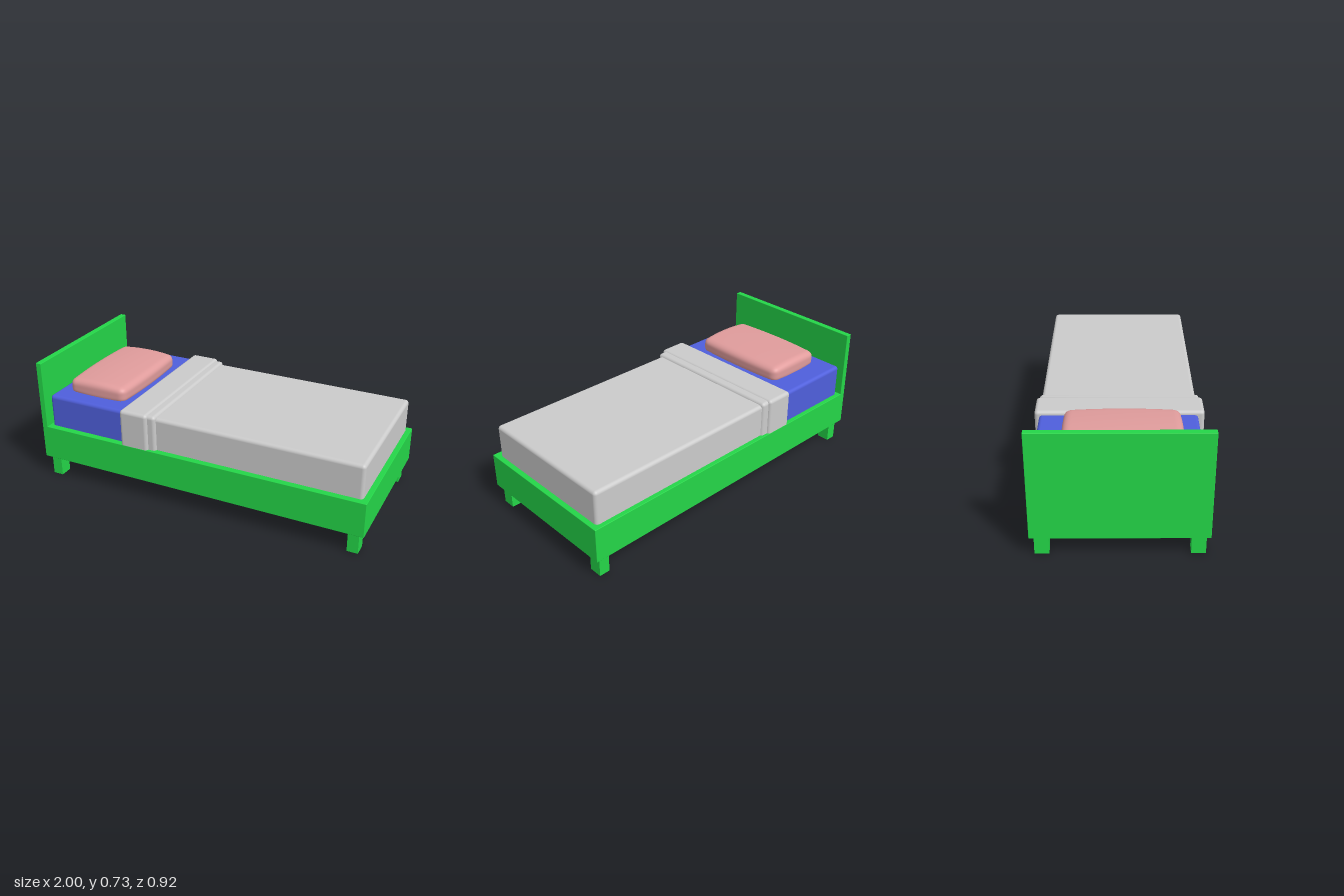
import * as THREE from 'three';
import { mergeVertices } from 'three/addons/utils/BufferGeometryUtils.js';
import { RoundedBoxGeometry } from 'three/addons/geometries/RoundedBoxGeometry.js';

const green = new THREE.MeshStandardMaterial({ color: 0x24d648 });
const blue = new THREE.MeshStandardMaterial({ color: 0x4f5fdc });
const pink = new THREE.MeshStandardMaterial({ color: 0xe09c9c });
const grey = new THREE.MeshStandardMaterial({ color: 0xcccccc });

// Box between two corners, with an optional edge radius
function block(name, material, [x0, y0, z0], [x1, y1, z1], radius = 0) {
  const size = [x1 - x0, y1 - y0, z1 - z0];
  const geometry = radius
    ? new RoundedBoxGeometry(...size, 4, radius)
    : new THREE.BoxGeometry(...size);
  const mesh = new THREE.Mesh(geometry, material);
  mesh.name = name;
  mesh.position.set((x0 + x1) / 2, (y0 + y1) / 2, (z0 + z1) / 2);
  return mesh;
}

// Soft cushion: subdivided box with rounded edges, fuller towards the middle
function cushion(w, h, d, r) {
  const geometry = new THREE.BoxGeometry(w, h, d, 36, 12, 56);
  geometry.deleteAttribute('uv');
  geometry.deleteAttribute('normal');
  const pos = geometry.attributes.position;
  const p = new THREE.Vector3();
  const core = new THREE.Vector3();
  const limit = new THREE.Vector3(w / 2 - r, h / 2 - r, d / 2 - r);
  for (let i = 0; i < pos.count; i++) {
    p.fromBufferAttribute(pos, i);
    core.copy(p).clamp(limit.clone().negate(), limit);
    p.sub(core).setLength(r).add(core);
    const u = 2 * p.x / w, v = 2 * p.z / d;
    p.x *= 1 - 0.06 * v * v;
    p.z *= 1 - 0.025 * u * u;
    p.y *= 1 - 0.2 * u * u - 0.08 * v * v;
    pos.setXYZ(i, p.x, p.y, p.z);
  }
  const merged = mergeVertices(geometry, 1e-5);
  merged.computeVertexNormals();
  return merged;
}

export function createModel() {
  const bed = new THREE.Group();
  bed.name = 'bed';

  // Frame and headboard
  bed.add(block('frame', green, [-1, 0.12, -0.458], [1, 0.325, 0.458], 0.003));
  bed.add(block('headboard', green, [-1, 0.12, -0.458], [-0.965, 0.73, 0.458], 0.003));

  // Four square legs
  for (const x of [-0.935, 0.94]) {
    for (const z of [-0.398, 0.401]) {
      bed.add(block('leg', green, [x - 0.031, 0, z - 0.038], [x + 0.031, 0.13, z + 0.038]));
    }
  }

  // Mattress, blanket and the turned-down folds
  bed.add(block('mattress', blue, [-0.95, 0.29, -0.432], [-0.3, 0.52, 0.422], 0.02));
  bed.add(block('blanket', grey, [-0.4, 0.29, -0.432], [0.97, 0.521, 0.424], 0.02));
  bed.add(block('foldUnderlap', grey, [-0.4, 0.28, -0.443], [-0.235, 0.535, 0.441], 0.02));
  bed.add(block('blanketFold', grey, [-0.455, 0.28, -0.457], [-0.28, 0.542, 0.457], 0.02));

  // Pillow
  const pillow = new THREE.Mesh(cushion(0.395, 0.12, 0.62, 0.04), pink);
  pillow.name = 'pillow';
  pillow.position.set(-0.693, 0.549, 0.015);
  bed.add(pillow);

  return bed;
}
